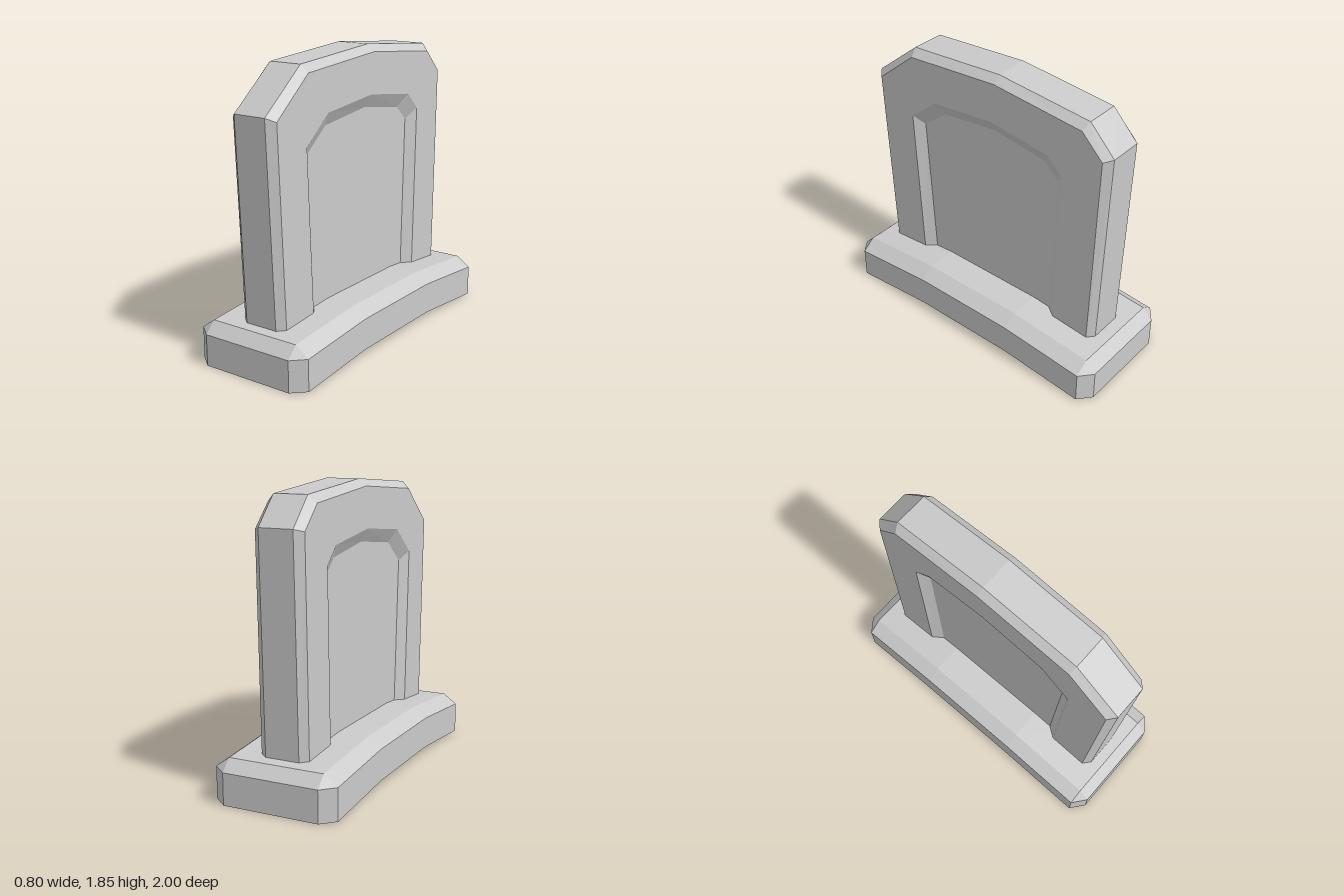
import * as THREE from 'three';

// Skin a closed solid through matching rings of [x, y, z] points, with flat end caps.
// Points run clockwise when seen from the end the rings advance towards.
function loft(rings) {
  const position = [];
  const n = rings[0].length;
  const tri = (...corners) => {
    const t = new THREE.Triangle(...corners.map((p) => new THREE.Vector3(...p)));
    if (t.getArea() > 1e-7) position.push(...corners.flat());
  };
  for (let i = 0; i < rings.length - 1; i++) {
    for (let j = 0; j < n; j++) {
      const k = (j + 1) % n;
      const a = rings[i][j], b = rings[i][k], c = rings[i + 1][k], d = rings[i + 1][j];
      tri(a, d, c);
      tri(a, c, b);
    }
  }
  const first = rings[0], last = rings[rings.length - 1];
  for (let j = 1; j < n - 1; j++) {
    tri(first[0], first[j], first[j + 1]);
    tri(last[0], last[j + 1], last[j]);
  }
  const geometry = new THREE.BufferGeometry();
  geometry.setAttribute('position', new THREE.Float32BufferAttribute(position, 3));
  geometry.computeVertexNormals();
  return geometry;
}

// Arched plinth: chamfered block whose middle is lifted
function baseGeometry() {
  const stations = [-1, -0.93, -0.36, 0.36, 0.93, 1];
  return loft(stations.map((z) => {
    const end = Math.abs(z) === 1;
    const lift = 0.055 * Math.min(1, (1 - Math.abs(z)) / 0.64);
    const wide = end ? 0.31 : 0.4;
    const wall = 0.2 + lift;
    const top = end ? wall : 0.265 + lift;
    return [
      [-wide, lift, z], [-wide, wall, z], [-0.31, top, z],
      [0.31, top, z], [wide, wall, z], [wide, lift, z],
    ];
  }));
}

// Upright stone: bevelled rim and a recessed panel on both faces
function slabGeometry() {
  // Outlines as [z, y], from the foot at +z over the top to the foot at -z
  const outer = [[0.857, 0.2], [0.92, 1.54], [0.6, 1.797], [-0.07, 1.845], [-0.72, 1.787], [-0.89, 1.61], [-0.849, 0.2]];
  const face = [[0.817, 0.2], [0.875, 1.515], [0.59, 1.75], [-0.07, 1.8], [-0.7, 1.74], [-0.845, 1.595], [-0.812, 0.2]];
  const recessRim = [[0.557, 0.2], [0.61, 1.33], [0.405, 1.495], [-0.045, 1.54], [-0.47, 1.485], [-0.58, 1.378], [-0.548, 0.2]];
  const recessFloor = [[0.487, 0.2], [0.545, 1.27], [0.37, 1.41], [-0.04, 1.457], [-0.41, 1.402], [-0.512, 1.307], [-0.478, 0.2]];
  const half = [[outer, 0.11], [face, 0.158], [recessRim, 0.158], [recessFloor, 0.11]];
  const ring = (outline, x) => outline.map(([z, y]) => [x, y, z]);
  return loft([
    ...half.map(([outline, x]) => ring(outline, -x)).reverse(),
    ...half.map(([outline, x]) => ring(outline, x)),
  ]);
}

export function createModel() {
  const group = new THREE.Group();
  group.name = 'gravestone';
  const stone = new THREE.MeshStandardMaterial({ color: 0xcccccc, flatShading: true });

  const base = new THREE.Mesh(baseGeometry(), stone);
  base.name = 'base';
  const slab = new THREE.Mesh(slabGeometry(), stone);
  slab.name = 'slab';

  group.add(base, slab);
  return group;
}
